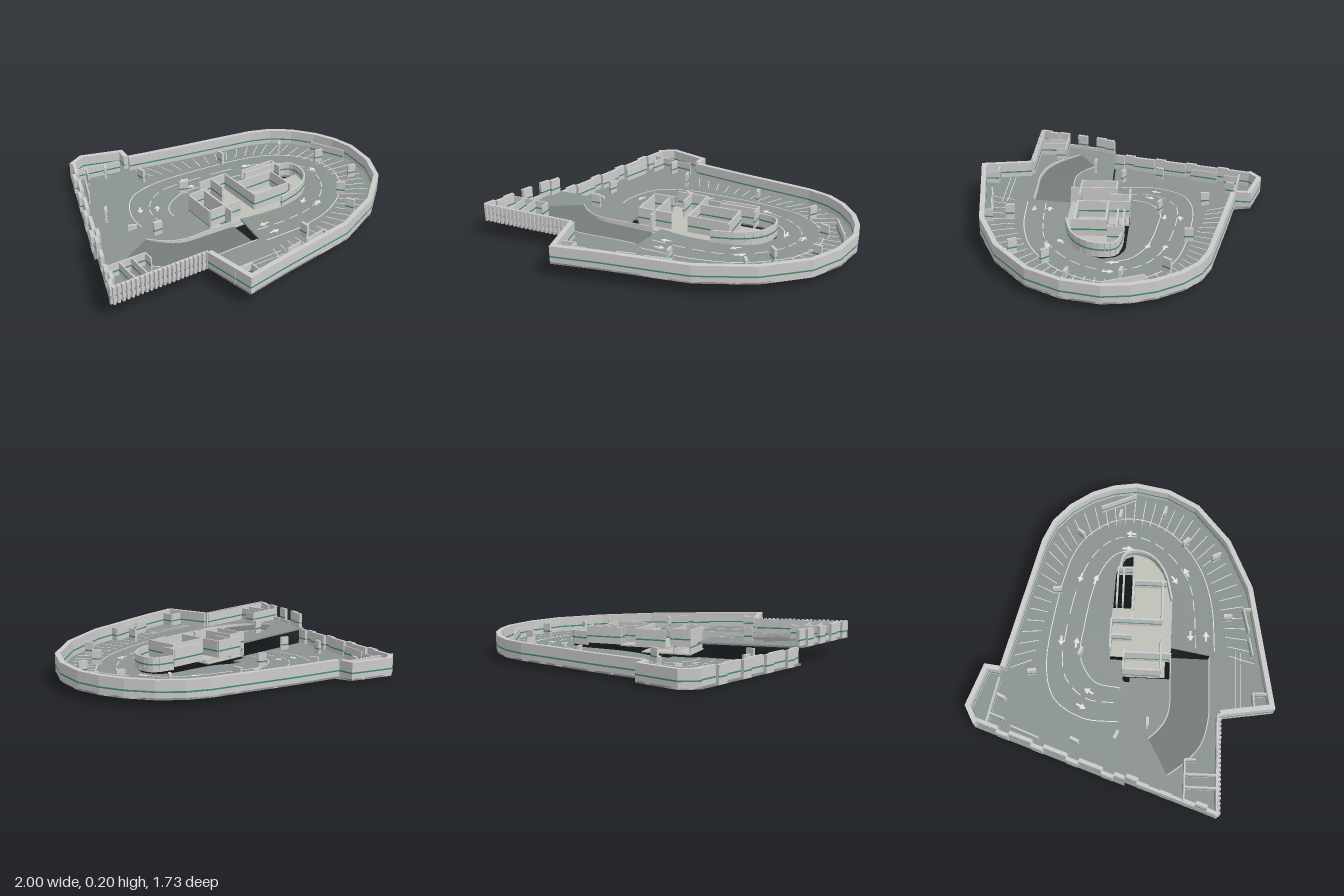
import * as THREE from 'three';
import { mergeGeometries } from 'three/addons/utils/BufferGeometryUtils.js';

const mat = (color) => new THREE.MeshStandardMaterial({ color, side: THREE.DoubleSide, flatShading: true });
const CZ = 0.05, TAU = Math.PI * 2;

// Plan outlines as [x, z], clockwise seen from above, starting at the left break
const OUTER = [[-0.83, 0.05], [-0.54, -0.81], [-0.44, -0.865], [-0.19, -0.78], [-0.2, -0.69], [0.6, -0.51],
  [0.73, -0.455], [0.84, -0.36], [0.93, -0.23], [0.98, -0.1], [1, 0.04], [0.96, 0.24], [0.86, 0.42],
  [0.63, 0.61], [0.33, 0.74], [-0.13, 0.815]];
const INNER = [[-0.23, 0.05], [-0.23, 0.01], [-0.1, 0], [-0.1, -0.07], [0.1, -0.07], [0.45, -0.06], [0.53, -0.02],
  [0.56, 0.06], [0.52, 0.15], [0.42, 0.23], [0.25, 0.28], [-0.23, 0.28], [-0.23, 0.05]];

// Underside height of the spiral floor, by angle around the core
const RISE = [[0, 0.002], [70, 0.012], [100, 0.017], [180, 0.043], [250, 0.072], [281, 0.087]];
function level([x, z]) {
  const a = ((Math.atan2(CZ - z, -x) + TAU) % TAU) * 180 / Math.PI;
  if (a >= 281) return 0.085 - 0.015 * x;
  const i = RISE.findIndex((r) => r[0] > a), [a0, y0] = RISE[i - 1], [a1, y1] = RISE[i];
  return y0 + (y1 - y0) * (a - a0) / (a1 - a0);
}
const flat = (y) => () => y;

// Upright slab along a-b whose foot follows a height function
function slab(a, b, t, base, y0, y1, shift = 0) {
  const dx = b[0] - a[0], dz = b[1] - a[1], L = Math.hypot(dx, dz), ux = dx / L, uz = dz / L;
  const g = new THREE.BoxGeometry(L, y1 - y0, t), p = g.attributes.position, ha = base(a), hb = base(b);
  for (let i = 0; i < p.count; i++) p.setY(i, p.getY(i) + (y0 + y1) / 2 + (p.getX(i) < 0 ? ha : hb));
  const m = new THREE.Matrix4().makeBasis(new THREE.Vector3(ux, 0, uz), new THREE.Vector3(0, 1, 0), new THREE.Vector3(-uz, 0, ux));
  m.setPosition((a[0] + b[0]) / 2 - uz * shift, 0, (a[1] + b[1]) / 2 + ux * shift);
  return g.applyMatrix4(m);
}
const lerp = (a, b, t) => [a[0] + (b[0] - a[0]) * t, a[1] + (b[1] - a[1]) * t];

function divide(pts, step) {
  const out = [];
  for (let i = 0; i < pts.length - 1; i++) {
    const n = Math.max(1, Math.ceil(Math.hypot(pts[i + 1][0] - pts[i][0], pts[i + 1][1] - pts[i][1]) / step));
    for (let k = 0; k < n; k++) out.push(lerp(pts[i], pts[i + 1], k / n));
  }
  return [...out, pts[pts.length - 1]];
}
function curve(pts, n) {
  return new THREE.CatmullRomCurve3(pts.map(([x, z]) => new THREE.Vector3(x, 0, z))).getPoints(n).map((p) => [p.x, p.z]);
}
// Where the ray from the core centre towards p meets the inner outline
function innerPoint(p) {
  const dx = p[0], dz = p[1] - CZ;
  for (let i = 0; i < INNER.length - 1; i++) {
    const [ax, az] = INNER[i], ex = INNER[i + 1][0] - ax, ez = INNER[i + 1][1] - az, den = dx * ez - dz * ex;
    if (Math.abs(den) < 1e-9) continue;
    const t = (ax * ez - (az - CZ) * ex) / den, s = (ax * dz - (az - CZ) * dx) / den;
    if (t > 0 && s >= -1e-6 && s <= 1 + 1e-6) return [dx * t, CZ + dz * t];
  }
  return [-0.23, CZ];
}
// Solid strip between two rails of equal length
function strip(left, right, base, thick) {
  const v = [], idx = [], n = left.length;
  for (let i = 0; i < n; i++) {
    const yl = base(left[i], i / (n - 1)), yr = base(right[i], i / (n - 1));
    for (const [q, y] of [[left[i], yl], [left[i], yl + thick], [right[i], yr + thick], [right[i], yr]]) v.push(q[0], y, q[1]);
  }
  for (let i = 0; i < n - 1; i++) for (let k = 0; k < 4; k++) {
    const a = i * 4 + k, b = i * 4 + (k + 1) % 4;
    idx.push(a, b, b + 4, a, b + 4, a + 4);
  }
  const e = (n - 1) * 4;
  idx.push(0, 2, 1, 0, 3, 2, e, e + 1, e + 2, e, e + 2, e + 3);
  const g = new THREE.BufferGeometry();
  g.setAttribute('position', new THREE.Float32BufferAttribute(v, 3));
  g.setIndex(idx);
  g.computeVertexNormals();
  return g;
}

export function createModel() {
  const model = new THREE.Group();
  const wallMat = mat(0xcccccc), floorMat = mat(0x8b9390), paleMat = mat(0xbfc1b8), greenMat = mat(0x3f9070), lineMat = mat(0xe2e5d8);
  const add = (name, geos, m) => {
    const mesh = new THREE.Mesh(Array.isArray(geos) ? mergeGeometries(geos) : geos, m);
    mesh.name = name;
    model.add(mesh);
  };
  const H = 0.1, T = 0.028;
  const stripes = [];
  const striped = (list, a, b, t, base, y1, shift = 0) => {
    list.push(slab(a, b, t, base, 0, y1, shift));
    stripes.push(slab(a, b, t + 0.002, base, 0.037, 0.045, shift));
  };

  // Spiral floor
  const rim = divide(OUTER, 0.04);
  add('spiralFloor', strip(rim.map(innerPoint), rim, level, 0.01), floorMat);

  // Upper deck with a notch for the curved ramp
  const rampOut = curve([[-0.78, 0.28], [-0.7, 0.38], [-0.6, 0.46], [-0.45, 0.5], [-0.25, 0.5], [-0.09, 0.5]], 24);
  const rampIn = curve([[-0.58, 0.17], [-0.53, 0.22], [-0.47, 0.26], [-0.4, 0.28], [-0.25, 0.28], [-0.09, 0.28]], 24);
  const deck = [[-0.13, 0.815], [-0.4, 0.86], [-0.45, 0.56], [-1, 0.55], [-0.83, 0.05], [-0.23, 0.05], [-0.23, 0.28],
    ...[...rampIn].reverse().slice(1), ...rampOut, [-0.075, 0.5]];
  const deckGeo = new THREE.ExtrudeGeometry(new THREE.Shape(deck.map(([x, z]) => new THREE.Vector2(x, -z))), { depth: 0.01, bevelEnabled: false });
  deckGeo.rotateX(-Math.PI / 2);
  const dp = deckGeo.attributes.position;
  for (let i = 0; i < dp.count; i++) dp.setY(i, dp.getY(i) + 0.085 - 0.015 * dp.getX(i));
  deckGeo.computeVertexNormals();
  add('upperDeck', deckGeo, floorMat);

  // Curved ramp and its side walls
  const rampY = (p, t) => 0.097 - 0.04 * t;
  add('ramp', strip(rampIn, rampOut, rampY, 0.008), mat(0x747b79));
  const rampWalls = [];
  for (const rail of [rampIn, rampOut]) for (let i = 0; i < 24; i++) {
    const foot = (p) => rampY(p, (p === rail[i] ? i : i + 1) / 24);
    rampWalls.push(slab(rail[i], rail[i + 1], 0.006, foot, 0, 0.012 + 0.032 * i / 24));
  }
  add('rampWalls', rampWalls, wallMat);

  // Perimeter wall with its green band
  const walls = [];
  const perimeter = divide([...OUTER.slice(1), [-0.4, 0.86], [-0.45, 0.56]], 0.12);
  for (let i = 0; i < perimeter.length - 1; i++) striped(walls, perimeter[i], perimeter[i + 1], T, level, H, T / 2);
  add('perimeterWall', walls, wallMat);

  // Left walls in stepped panels, with openings on the upper part
  const panels = [], N = 13;
  for (let i = 0; i < N; i++)
    striped(panels, lerp(OUTER[0], OUTER[1], i / N), lerp(OUTER[0], OUTER[1], (i + 1) / N), 0.02, level, H, i % 3 === 1 ? 0.008 : 0.026);
  const upA = [-1, 0.55], upB = [-0.831, 0.0505];
  for (let i = 0; i < 8; i++) {
    const a = lerp(upA, upB, i / 8), b = lerp(upA, upB, (i + 1) / 8);
    if (i === 3 || i === 5) panels.push(slab(a, b, 0.015, level, 0, 0.03, 0.02));
    else striped(panels, a, b, 0.02, level, H, i % 2 ? 0.025 : 0.01);
  }
  add('leftWallPanels', panels, wallMat);

  // Ribbed wall on the front left
  const ribs = [];
  striped(ribs, [-0.45, 0.545], [-1, 0.545], 0.012, level, 0.095);
  for (let i = 0; i < 22; i++) {
    const x = -0.99 + i * 0.0255;
    ribs.push(slab([x, 0.555], [x + 0.013, 0.555], 0.018, level, 0, H));
  }
  add('ribbedWall', ribs, wallMat);

  // Service core: pit floor, main floor and room walls
  const plate = (pts, y) => {
    const g = new THREE.ExtrudeGeometry(new THREE.Shape(pts.map(([x, z]) => new THREE.Vector2(x, -z))), { depth: 0.008, bevelEnabled: false });
    return g.rotateX(-Math.PI / 2).translate(0, y, 0);
  };
  add('coreFloor', [
    plate([[-0.2, 0.01], [0.1, 0.01], [0.1, 0.25], [-0.2, 0.25]], 0.025),
    plate([[-0.1, -0.07], [0.2, -0.07], [0.2, 0.04], [0.55, 0.04], [0.52, 0.15], [0.42, 0.23], [0.25, 0.28], [-0.1, 0.28]], 0.07),
  ], paleMat);
  const core = [];
  for (const [x0, z0, x1, z1] of [[-0.2, 0.01, -0.2, 0.22], [-0.2, 0.22, 0, 0.22], [-0.2, 0.01, -0.08, 0.01], [-0.1, 0.01, -0.1, 0.28],
    [-0.08, -0.07, 0.1, -0.07], [0, -0.07, 0, 0.05], [0.1, -0.07, 0.1, 0.22], [0.1, 0.05, 0.34, 0.05], [0.34, 0.04, 0.34, 0.24],
    [0.1, 0.22, 0.34, 0.22], [0.2, -0.045, 0.42, -0.045], [0.2, -0.01, 0.42, -0.01], [0.42, -0.045, 0.42, 0.04]])
    striped(core, [x0, z0], [x1, z1], 0.01, flat(x1 <= -0.1 ? 0.03 : 0.075), x1 <= -0.1 ? 0.14 : H);
  const bow = curve([[0.42, -0.04], [0.53, -0.01], [0.55, 0.06], [0.52, 0.15], [0.42, 0.23], [0.25, 0.275]], 14);
  for (let i = 0; i < 14; i++) striped(core, bow[i], bow[i + 1], 0.01, flat(0.06), 0.08);
  add('coreWalls', core, wallMat);

  // Small rooms at the deck corners and along the walls
  const rooms = [];
  for (const [x0, z0, x1, z1] of [[-0.92, 0.37, -0.7, 0.37], [-0.78, 0.37, -0.78, 0.54], [-0.85, 0.37, -0.85, 0.54], [-0.7, 0.37, -0.7, 0.43],
    [-0.42, 0.75, -0.31, 0.74], [-0.31, 0.74, -0.31, 0.82], [-0.08, 0.74, 0.02, 0.72], [0.06, 0.72, 0.2, 0.69], [0.2, 0.69, 0.2, 0.74],
    [-0.53, -0.74, -0.26, -0.69], [-0.47, -0.73, -0.5, -0.64], [-0.54, -0.6, -0.6, -0.44], [0.84, -0.17, 0.93, 0.04]])
    striped(rooms, [x0, z0], [x1, z1], 0.008, level, 0.085);
  add('roomWalls', rooms, wallMat);

  // Free-standing columns
  const columns = [];
  for (const [x, z, a] of [[-0.21, -0.51, 1.4], [0.3, -0.4, 1.5], [0.67, -0.28, 2.2], [-0.08, -0.24, 0.4], [0.8, -0.05, 0.2], [0.63, 0.35, 0.8],
    [0.54, 0.53, 1.1], [-0.56, -0.01, 0.4], [-0.5, 0.16, 0], [-0.6, -0.24, 2], [-0.37, -0.67, 2], [0.15, 0.6, 1.5], [0.83, 0.22, 0.2]]) {
    const cx = Math.cos(a) * 0.025, cz = Math.sin(a) * 0.025;
    striped(columns, [x - cx, z - cz], [x + cx, z + cz], 0.016, level, 0.09);
  }
  add('columns', columns, wallMat);
  add('greenBands', stripes, greenMat);

  // Painted lanes, bays and arrows
  const paint = [];
  const mark = (a, b, w) => paint.push(slab(a, b, w, level, 0.01, 0.0115));
  const lanes = [
    [[-0.47, 0], [-0.46, -0.2], [-0.36, -0.37], [-0.2, -0.43], [0.1, -0.42], [0.6, -0.3], [0.77, -0.12], [0.8, 0.05], [0.72, 0.25], [0.5, 0.43], [0.25, 0.51], [-0.05, 0.53]],
    [[-0.36, 0], [-0.34, -0.2], [-0.2, -0.33], [0.1, -0.33], [0.5, -0.23], [0.65, -0.1], [0.68, 0.05], [0.6, 0.22], [0.4, 0.37], [0.2, 0.41], [-0.03, 0.42]],
    [[-0.27, 0], [-0.24, -0.15], [-0.1, -0.24], [0.1, -0.23], [0.4, -0.17], [0.55, -0.08], [0.6, 0.04]]];
  lanes.forEach((lane, k) => {
    const c = curve(lane, 60);
    for (let i = 0; i < 60; i++) if (k !== 1 || i % 3) mark(c[i], c[i + 1], 0.005);
  });
  divide(OUTER.slice(4), 0.085).forEach((p) => mark(lerp(p, [0.1, 0], 0.07), lerp(p, [0.1, 0], 0.25), 0.004));
  for (const z of [0.65, 0.68]) mark([-0.39, z], [-0.05, z], 0.004);
  add('floorLines', paint, lineMat);
  const arrows = [];
  for (const [x, z, a] of [[0, -0.36, 3.1], [-0.01, -0.27, 0.1], [0.4, -0.27, 3.4], [0.39, -0.18, 0.3], [0.6, 0, 1.5], [0.7, 0.02, -1.5],
    [0.4, 0.29, 2.5], [0.45, 0.36, -0.5], [0.04, 0.39, 3.1], [0.04, 0.48, 0], [-0.39, -0.22, 2], [-0.3, -0.18, -1.1]]) {
    const s = new THREE.Shape([[-0.03, -0.006], [0, -0.006], [0, -0.02], [0.032, 0], [0, 0.02], [0, 0.006], [-0.03, 0.006]].map((q) => new THREE.Vector2(...q)));
    arrows.push(new THREE.ShapeGeometry(s).rotateX(-Math.PI / 2).rotateY(-a).translate(x, level([x, z]) + 0.0135, z));
  }
  add('laneArrows', arrows, lineMat);
  return model;
}
